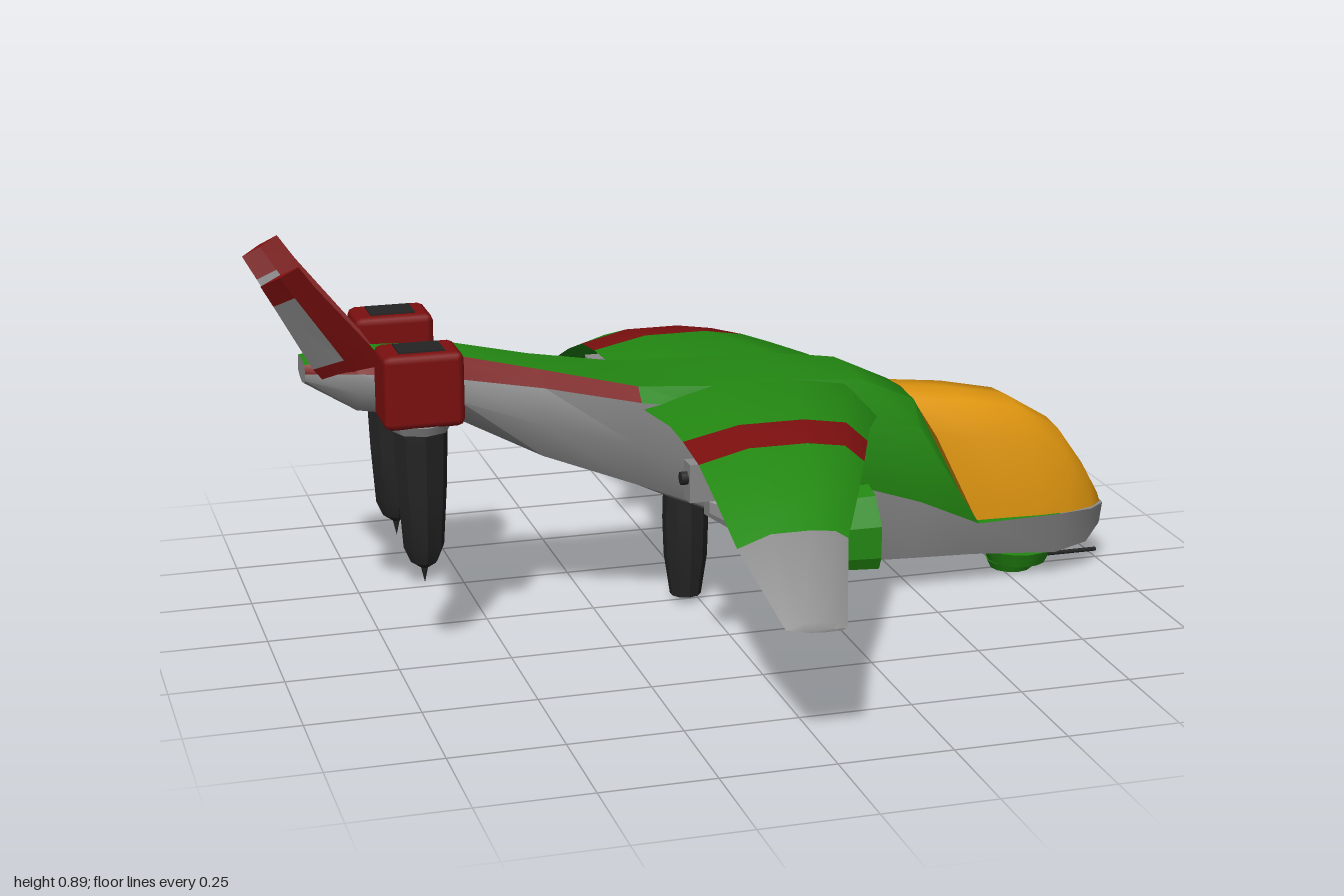
import * as THREE from 'three';
import { toCreasedNormals } from 'three/addons/utils/BufferGeometryUtils.js';
import { RoundedBoxGeometry } from 'three/addons/geometries/RoundedBoxGeometry.js';

const colours = { green: 0x238812, grey: 0x8a8a8a, red: 0x7c0f0f, orange: 0xe0960f, black: 0x242424 };

export function createModel() {
  const model = new THREE.Group();
  const mats = Object.entries(colours).map(([name, color]) => {
    const m = new THREE.MeshStandardMaterial({ color });
    m.name = name;
    return m;
  });
  const [GREEN, GREY, RED, ORANGE, BLACK] = [0, 1, 2, 3, 4];

  const add = (name, geometry, material, x = 0, y = 0, z = 0) => {
    const mesh = new THREE.Mesh(geometry, material);
    mesh.name = name;
    mesh.position.set(x, y, z);
    model.add(mesh);
    return mesh;
  };

  // Closed loft through rings of [x, y, z]; paint(i, j) colours each quad,
  // with i = -1 for the first cap and i = rings.length - 1 for the last.
  const loft = (name, rings, paint, crease = 0.6) => {
    const n = rings[0].length, pts = rings.flat();
    const tris = mats.map(() => []);
    rings.slice(1).forEach((_, i) => {
      for (let j = 0; j < n; j++) {
        const a = i * n + j, b = i * n + (j + 1) % n;
        tris[paint(i, j)].push([a, b, b + n], [a, b + n, a + n]);
      }
    });
    const last = (rings.length - 1) * n;
    for (let j = 1; j < n - 1; j++) {
      tris[paint(-1, j)].push([0, j + 1, j]);
      tris[paint(rings.length - 1, j)].push([last, last + j, last + j + 1]);
    }
    // The sign of the volume tells whether the faces point outward
    const v = pts.map(p => new THREE.Vector3(...p));
    let volume = 0;
    tris.flat().forEach(([a, b, c]) => { volume += v[a].dot(v[b].clone().cross(v[c])); });
    const geo = new THREE.BufferGeometry();
    geo.setAttribute('position', new THREE.Float32BufferAttribute(pts.flat(), 3));
    const index = [], used = [];
    tris.forEach((list, m) => {
      if (!list.length) return;
      geo.addGroup(index.length, list.length * 3, used.length);
      used.push(mats[m]);
      list.forEach(([a, b, c]) => index.push(...(volume > 0 ? [a, b, c] : [a, c, b])));
    });
    geo.setIndex(index);
    return add(name, toCreasedNormals(geo, crease), used);
  };

  const bothSides = build => [1, -1].forEach(build);
  // Half ring from top centre to bottom centre, completed by mirroring in z
  const mirrorRing = half => [...half, ...half.slice(1, -1).reverse().map(([x, y, z]) => [x, y, -z])];

  // Fuselage: x, top y/z, seam y/z, side y/z, chine y/z, keel y
  const body = [
    [-0.90, 0.645, 0.045, 0.625, 0.05, 0.61, 0.05, 0.60, 0.03, 0.595],
    [-0.79, 0.655, 0.055, 0.625, 0.08, 0.58, 0.08, 0.535, 0.05, 0.525],
    [-0.57, 0.645, 0.06, 0.60, 0.095, 0.55, 0.10, 0.50, 0.06, 0.49],
    [-0.38, 0.60, 0.07, 0.565, 0.10, 0.48, 0.11, 0.40, 0.07, 0.39],
    [-0.17, 0.555, 0.11, 0.525, 0.14, 0.42, 0.14, 0.32, 0.09, 0.305],
    [0.00, 0.545, 0.12, 0.50, 0.15, 0.36, 0.15, 0.25, 0.10, 0.22],
    [0.19, 0.545, 0.12, 0.47, 0.15, 0.27, 0.16, 0.13, 0.11, 0.105],
    [0.36, 0.525, 0.10, 0.44, 0.15, 0.28, 0.155, 0.09, 0.11, 0.06],
    [0.49, 0.465, 0.09, 0.41, 0.135, 0.235, 0.15, 0.085, 0.11, 0.05],
    [0.64, 0.17, 0.08, 0.168, 0.10, 0.165, 0.14, 0.08, 0.11, 0.045],
    [0.85, 0.165, 0.07, 0.165, 0.09, 0.164, 0.125, 0.06, 0.10, 0.04],
    [0.94, 0.162, 0.05, 0.162, 0.07, 0.16, 0.10, 0.07, 0.075, 0.06],
    [0.99, 0.158, 0.02, 0.157, 0.03, 0.155, 0.05, 0.10, 0.035, 0.095],
  ].map(([x, ty, tz, sy, sz, my, mz, cy, cz, ky]) => mirrorRing(
    [[x, ty + 0.005, 0], [x, ty, tz], [x, sy, sz], [x, my, mz], [x, cy, cz], [x, ky, 0]]));
  loft('fuselage', body, (i, j) => {
    const strip = Math.min(j, 9 - j);
    if (i < 0 || i >= 10) return GREY;
    if (i === 6) return GREEN;
    if (strip === 0) return GREEN;
    if (strip === 1) return i < 4 ? RED : GREEN;
    if (strip === 2) return i > 6 ? GREEN : GREY;
    return strip === 4 && i > 6 && i < 9 ? GREEN : GREY;
  }, 0.7);

  // Canopy: slanted rings with top x/y/z and base x/y/z
  loft('canopy', [
    [0.49, 0.472, 0.085, 0.635, 0.172, 0.135],
    [0.62, 0.458, 0.085, 0.72, 0.170, 0.133],
    [0.75, 0.432, 0.08, 0.80, 0.166, 0.127],
    [0.86, 0.365, 0.07, 0.88, 0.163, 0.115],
    [0.93, 0.27, 0.055, 0.95, 0.161, 0.085],
    [0.975, 0.19, 0.025, 0.985, 0.158, 0.045],
  ].map(([tx, ty, tz, bx, by, bz]) => mirrorRing([
    [tx, ty, 0], [tx, ty - 0.008, tz],
    [tx * 0.7 + bx * 0.3, ty * 0.7 + by * 0.3, bz * 0.96],
    [bx, by, bz], [bx, by, 0],
  ])), () => ORANGE, 1);

  // Drooping wing in one piece: z, leading x/y, trailing x/y, top y, underside y
  const half = [
    [0.15, 0.38, 0.45, -0.165, 0.51, 0.545, 0.44],
    [0.28, 0.315, 0.465, -0.145, 0.51, 0.54, 0.45],
    [0.38, 0.275, 0.47, -0.145, 0.505, 0.532, 0.455],
    [0.50, 0.225, 0.465, -0.145, 0.49, 0.517, 0.445],
    [0.64, 0.16, 0.43, -0.143, 0.44, 0.468, 0.41],
    [0.76, 0.10, 0.39, -0.14, 0.39, 0.415, 0.365],
    [0.96, 0.03, 0.283, -0.10, 0.283, 0.293, 0.278],
    [0.97, 0.025, 0.277, -0.06, 0.277, 0.28, 0.274],
  ];
  const span = [...half.map(([z, ...r]) => [-z, ...r]).reverse(), ...half];
  const bands = [GREY, GREY, GREEN, GREEN, RED, GREEN, GREEN];
  loft('wing', span.map(([z, lx, ly, tx, ty, top, low]) => {
    const at = f => lx + (tx - lx) * f;
    return [[lx, ly, z], [at(0.12), top - (top - ly) * 0.25, z], [at(0.35), top, z],
      [at(0.7), top, z], [tx, ty, z], [at(0.6), low, z], [at(0.15), low, z]];
  }), i => i < 0 || i > 13 ? GREY : i === 7 ? GREEN : bands[i < 7 ? i : 14 - i], 0.7);

  bothSides(s => {
    const side = s > 0 ? 'Front' : 'Back';

    // Side intake with a hollow mouth, fading into the fuselage
    const mouth = [[0.10, 0.12], [0.115, 0.235], [0.145, 0.25], [0.22, 0.25], [0.28, 0.205], [0.30, 0.12]];
    const scaled = (x, k, cy = 0.2, cz = 0.17) =>
      mouth.map(([y, z]) => [x, cy + (y - 0.2) * k, s * (cz + (z - 0.17) * k)]);
    loft('intake' + side, [scaled(-0.02, 0.35, 0.28, 0.135), scaled(0.19, 0.92), scaled(0.36, 1),
      scaled(0.362, 0.75), scaled(0.27, 0.7)], i => i === 0 || i === 4 || i < 0 ? GREY : GREEN, 0.4);

    // Pod under the wing
    loft('wingPod' + side, [[-0.15, 0.39, 0.022], [0.1, 0.39, 0.026], [0.2, 0.425, 0.018]].map(([x, y, w]) =>
      [[x, 0.475, s * 0.43 - w], [x, 0.475, s * 0.43 + w], [x, y, s * 0.43 + w], [x, y, s * 0.43 - w]]),
    () => GREY);
    const podNozzle = add('podNozzle' + side, new THREE.CylinderGeometry(0.015, 0.015, 0.02, 8), mats[BLACK],
      -0.155, 0.44, s * 0.43);
    podNozzle.rotation.z = Math.PI / 2;

    // Canted tail fin: front x/y, rear x/y for each height
    loft('tailFin' + side, [
      [-0.70, 0.60, -0.83, 0.57], [-0.755, 0.68, -0.885, 0.64],
      [-0.885, 0.84, -0.972, 0.80], [-0.92, 0.89, -1, 0.85],
    ].map(([fx, fy, rx, ry]) => {
      const z = y => s * (0.065 + (y - 0.63) * 0.335);
      const mx = (fx + rx) / 2, my = (fy + ry) / 2;
      return [[fx, fy, z(fy)], [mx, my, z(my) + 0.01], [rx, ry, z(ry)], [mx, my, z(my) - 0.01]];
    }), (i, j) => i === 1 && (j === 1 || j === 2) ? GREY : RED, 0.3);

    // Rear lift engine: housing, top inlet, collar and long nozzle
    const ex = -0.672, ez = s * 0.165;
    add('engineHousing' + side, new RoundedBoxGeometry(0.176, 0.165, 0.13, 1, 0.016), mats[RED], ex, 0.615, ez);
    add('engineInlet' + side, new THREE.BoxGeometry(0.1, 0.006, 0.075), mats[BLACK], ex, 0.698, ez);
    add('engineCollar' + side, new THREE.CylinderGeometry(0.072, 0.064, 0.02, 8), mats[GREY], ex, 0.527, ez);
    const profile = [[0, 0.165], [0.008, 0.2], [0.03, 0.215], [0.045, 0.25], [0.054, 0.38], [0.06, 0.53]];
    add('engineNozzle' + side, toCreasedNormals(new THREE.LatheGeometry(
      profile.map(p => new THREE.Vector2(...p)), 8), 0.5), mats[BLACK], ex, 0, ez);
  });

  // Central lift nozzle under the belly
  add('bellyNozzle', toCreasedNormals(new THREE.LatheGeometry(
    [[0, 0.015], [0.036, 0.015], [0.05, 0.11], [0.053, 0.2], [0.05, 0.3]].map(p => new THREE.Vector2(...p)), 10), 0.5),
  mats[BLACK], -0.03, 0, 0);

  // Chin turret and gun barrel
  add('turret', new THREE.CylinderGeometry(0.085, 0.07, 0.035, 16), mats[GREEN], 0.795, 0.035, 0);
  add('turretBase', new THREE.CylinderGeometry(0.06, 0.05, 0.02, 12), mats[GREEN], 0.78, 0.01, 0);
  const barrel = add('gunBarrel', new THREE.CylinderGeometry(0.005, 0.005, 0.16, 6), mats[BLACK], 0.92, 0.02, 0);
  barrel.rotation.z = Math.PI / 2;

  return model;
}
